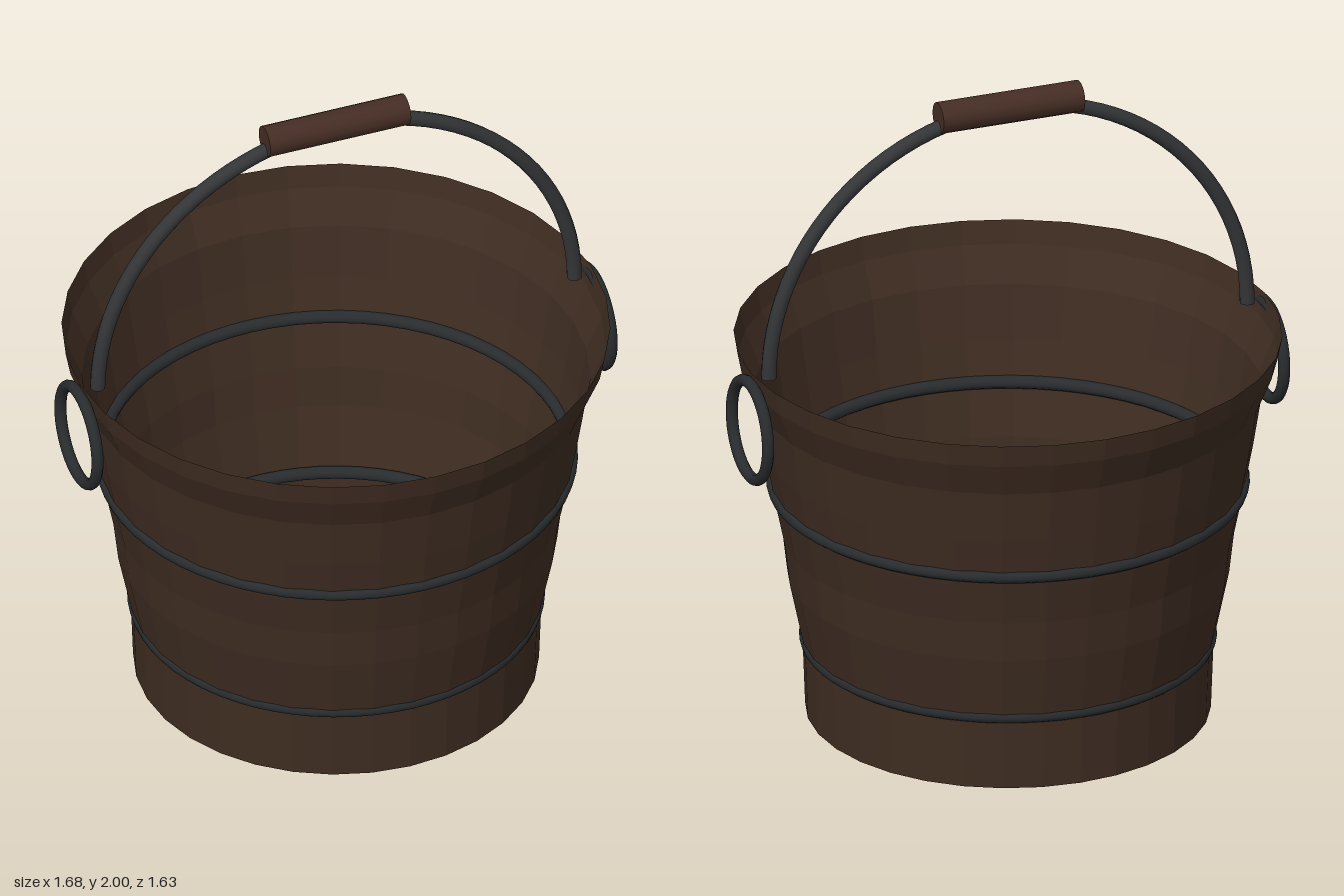
import * as THREE from 'three';

const material = (name, color, extra = {}) => {
  const m = new THREE.MeshStandardMaterial({ color, ...extra });
  m.name = name;
  return m;
};

export function createModel() {
  const group = new THREE.Group();
  const wood = material('dark wood', 0x3f2d22, { flatShading: true, side: THREE.DoubleSide });
  const gripWood = material('grip wood', 0x452d24);
  const iron = material('black iron', 0x292c2e);
  const handleIron = material('handle iron', 0x343537);

  const add = (name, geometry, mat, x = 0, y = 0) => {
    const mesh = new THREE.Mesh(geometry, mat);
    mesh.name = name;
    mesh.position.set(x, y, 0);
    group.add(mesh);
    return mesh;
  };

  // Thin flared bucket: floor, wall and rim in one profile
  const profile = [
    [0, 0], [0.604, 0], [0.612, 0.22], [0.635, 0.33], [0.658, 0.44], [0.673, 0.57],
    [0.7, 0.7], [0.73, 0.86], [0.757, 1.03], [0.803, 1.14], [0.817, 1.213],
  ].map(([r, y]) => new THREE.Vector2(r, y));
  add('bucket', new THREE.LatheGeometry(profile, 32), wood);

  // Iron hoops around the wall
  for (const [name, r, y] of [['lowerHoop', 0.602, 0.233], ['upperHoop', 0.7, 0.735]]) {
    add(name, new THREE.TorusGeometry(r, 0.02, 10, 64).rotateX(Math.PI / 2), iron, 0, y);
  }

  // Hanging rings on both sides
  for (const side of [-1, 1]) {
    add(side > 0 ? 'leftRing' : 'rightRing',
      new THREE.TorusGeometry(0.151, 0.018, 10, 40).rotateY(Math.PI / 2), iron, side * 0.822, 1.03);
  }

  // Arched handle with closed ends
  add('handle', new THREE.TorusGeometry(0.762, 0.023, 10, 48, Math.PI), handleIron, 0, 1.19);
  for (const side of [-1, 1]) {
    add('handleEnd', new THREE.CircleGeometry(0.023, 10).rotateX(Math.PI / 2), handleIron, side * 0.762, 1.19);
  }

  // Wooden grip
  add('grip', new THREE.CylinderGeometry(0.048, 0.048, 0.45, 16).rotateZ(Math.PI / 2), gripWood, -0.003, 1.952);

  return group;
}
